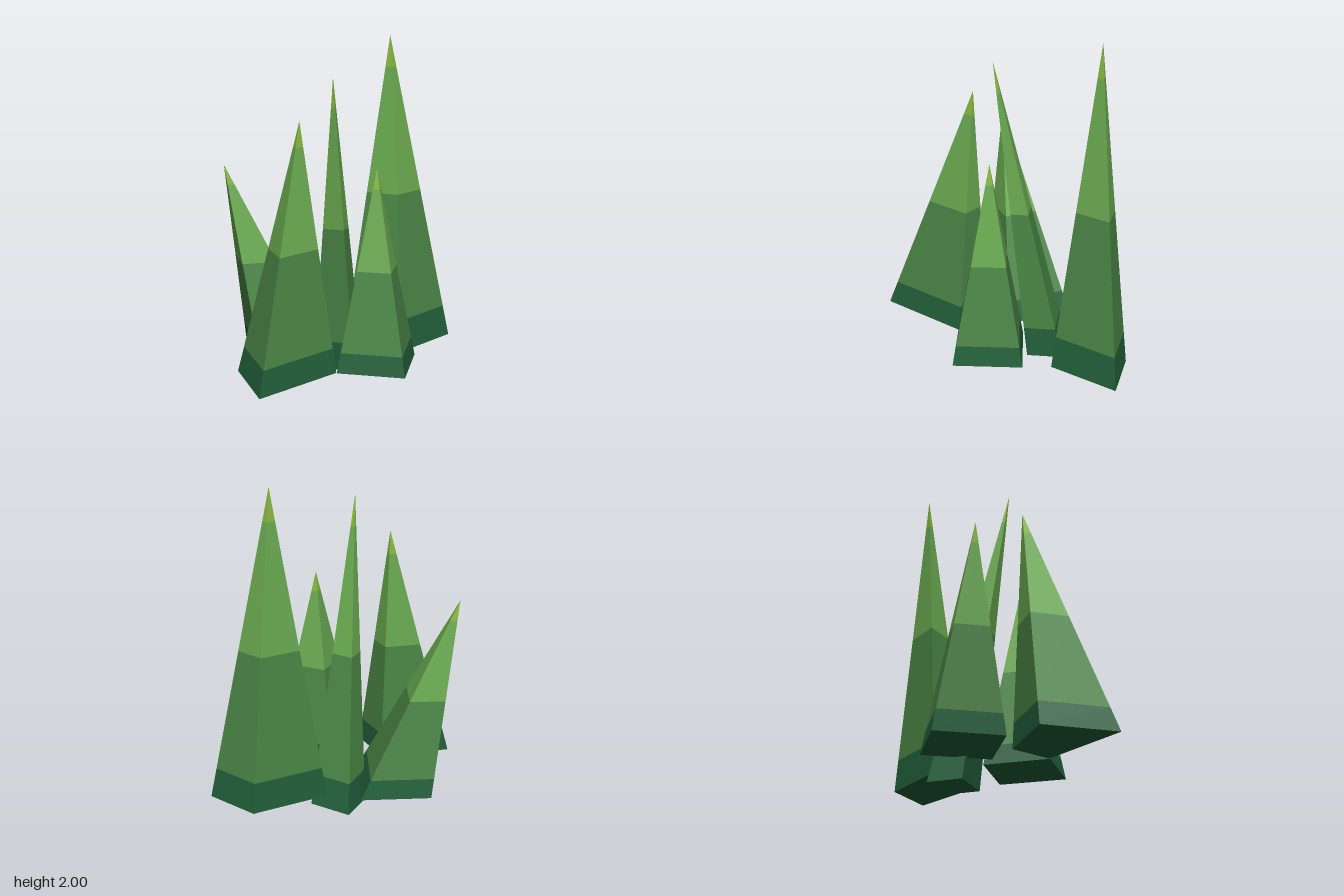
import * as THREE from 'three';

const flat = (name, color) => {
  const m = new THREE.MeshStandardMaterial({ color, flatShading: true });
  m.name = name;
  return m;
};

// Horizontal colour bands, as fractions of the height from base to tip
const BANDS = [0, 0.1, 0.5, 0.9, 1];

// Each blade: four base corners [x, z] (clockwise from above), base height, leaning tip
const BLADES = [
  { name: 'backBlade', base: 0.10, tip: [0.165, 2.0, -0.57],
    corners: [[0.185, -0.77], [0.51, -0.77], [0.36, -0.365], [-0.035, -0.365]] },
  { name: 'centreBlade', base: 0, tip: [0.07, 1.82, 0.06],
    corners: [[-0.17, -0.335], [0.085, -0.365], [0.115, -0.16], [-0.14, -0.13]] },
  { name: 'rightBlade', base: 0.13, tip: [-0.568, 1.29, 0.18],
    corners: [[-0.57, -0.07], [-0.255, -0.33], [0, -0.02], [-0.315, 0.235]] },
  { name: 'leftBlade', base: 0.145, tip: [0.32, 1.31, 0.01],
    corners: [[0.1, -0.13], [0.48, -0.225], [0.565, 0.165], [0.18, 0.25]] },
  { name: 'frontBlade', base: 0.145, tip: [-0.065, 1.585, 0.215],
    corners: [[-0.355, 0.445], [-0.065, 0.14], [0.175, 0.245], [-0.05, 0.77]] },
];

// Four-sided leaning spike, one geometry group per band
function bladeGeometry({ base, tip, corners }) {
  const apex = new THREE.Vector3(...tip);
  const rings = BANDS.map((t) =>
    corners.map(([x, z]) => new THREE.Vector3(x, base, z).lerp(apex, t)));
  const points = [];
  const geometry = new THREE.BufferGeometry();

  // Underside belongs to the lowest band
  const [a, b, c, d] = rings[0];
  points.push(a, b, c, a, c, d);

  let start = 0;
  for (let k = 0; k < BANDS.length - 1; k++) {
    const low = rings[k], high = rings[k + 1];
    for (let i = 0; i < 4; i++) {
      const j = (i + 1) % 4;
      points.push(low[j], low[i], high[i]);
      if (k < BANDS.length - 2) points.push(low[j], high[i], high[j]);
    }
    geometry.addGroup(start, points.length - start, k);
    start = points.length;
  }
  geometry.setFromPoints(points);
  geometry.computeVertexNormals();
  return geometry;
}

export function createModel() {
  const materials = [
    flat('deep green', 0x225f3a),
    flat('leaf green', 0x4a8545),
    flat('light green', 0x6aaa50),
    flat('lime tip', 0x86b840),
  ];
  const group = new THREE.Group();
  group.name = 'grassTuft';
  for (const blade of BLADES) {
    const mesh = new THREE.Mesh(bladeGeometry(blade), materials);
    mesh.name = blade.name;
    group.add(mesh);
  }
  return group;
}
